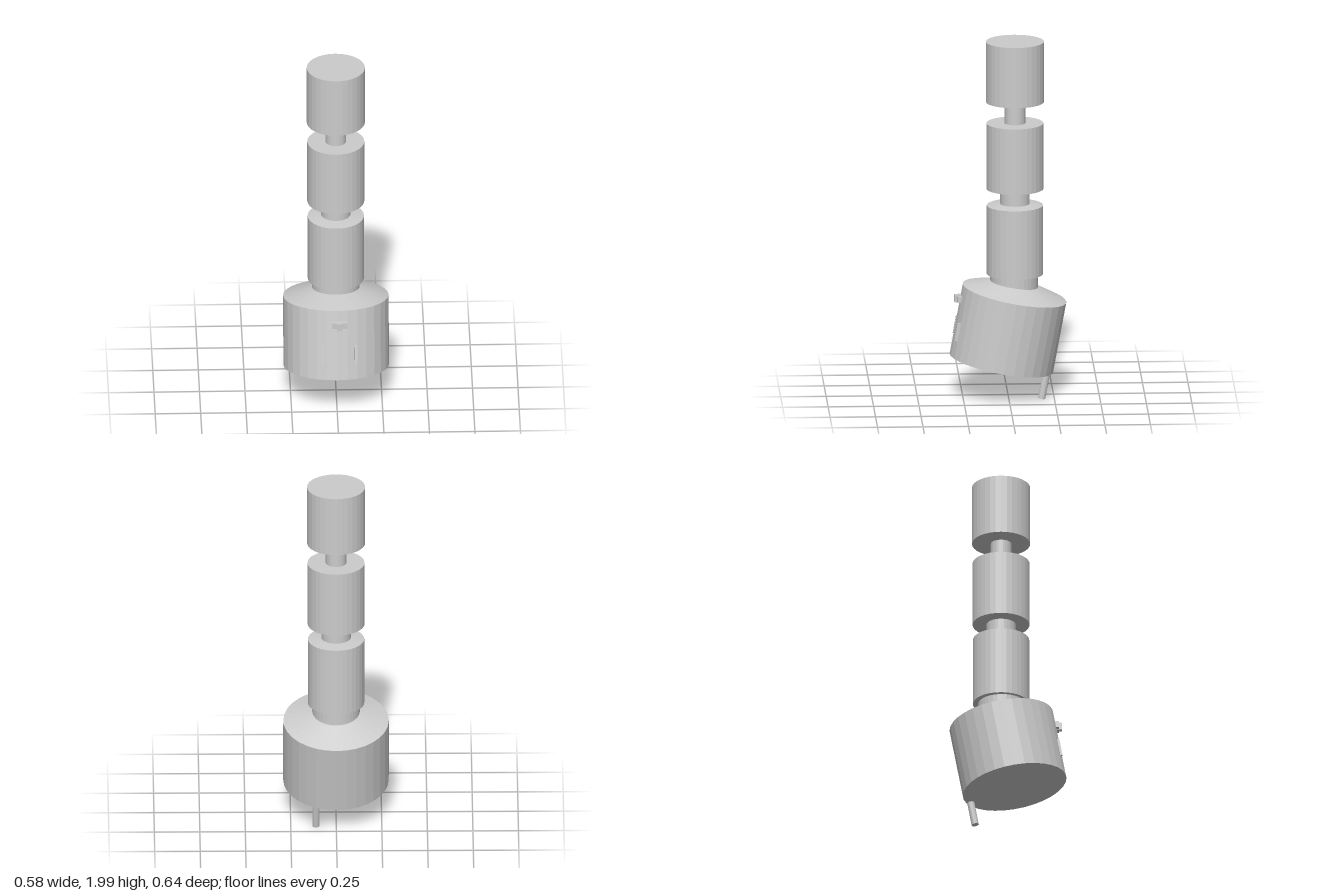
import * as THREE from 'three';

const material = new THREE.MeshStandardMaterial({ color: 0xcccccc, flatShading: true });

function add(parent, name, geometry, x, y, z) {
  const mesh = new THREE.Mesh(geometry, material);
  mesh.name = name;
  mesh.position.set(x, y, z);
  parent.add(mesh);
  return mesh;
}

// Upright cylinder or cone between two heights
function drum(parent, name, y0, y1, rTop, rBottom, x, z, sides = 32) {
  const geometry = new THREE.CylinderGeometry(rTop, rBottom, y1 - y0, sides);
  return add(parent, name, geometry, x, (y0 + y1) / 2, z);
}

export function createModel() {
  const model = new THREE.Group();
  model.name = 'model';

  // Vertical column: wide segments joined by thin necks
  const column = new THREE.Group();
  column.name = 'column';
  model.add(column);
  const stack = [
    ['baseNeck', 0.58, 0.69, 0.131, 0.131],
    ['lowerSegment', 0.69, 1.077, 0.155, 0.155],
    ['lowerShoulder', 1.077, 1.086, 0.085, 0.155],
    ['lowerNeck', 1.08, 1.17, 0.081, 0.081],
    ['middleSegment', 1.17, 1.54, 0.157, 0.157],
    ['upperNeck', 1.54, 1.66, 0.057, 0.057],
    ['topSegment', 1.66, 2, 0.16, 0.16],
  ];
  for (const [name, y0, y1, rTop, rBottom] of stack) {
    drum(column, name, y0, y1, rTop, rBottom, 0, name === 'baseNeck' ? -0.033 : -0.038);
  }

  // Tilted base drum with a shallow cone on top
  const base = new THREE.Group();
  base.name = 'tiltedBase';
  base.position.y = 0.385;
  base.rotation.x = -0.183;
  model.add(base);
  drum(base, 'baseDrum', -0.2, 0.2, 0.29, 0.29, 0, 0);
  drum(base, 'baseCone', 0.2, 0.253, 0.13, 0.29, 0, 0);

  // Pin under the base
  drum(base, 'pin', -0.335, -0.19, 0.02, 0.02, 0.112, -0.245, 16);

  // Two thin bars on the front of the drum
  for (const x of [-0.082, 0.103]) {
    add(base, 'frontBar', new THREE.BoxGeometry(0.015, 0.1, 0.022), x, -0.049, 0.276);
  }

  // Small latch on the front: a plate with a raised centre
  const latch = new THREE.Group();
  latch.name = 'latch';
  latch.position.set(0.013, 0.556, 0);
  model.add(latch);
  add(latch, 'latchPlate', new THREE.BoxGeometry(0.083, 0.034, 0.035), 0, 0, 0.263);
  add(latch, 'latchKnob', new THREE.BoxGeometry(0.028, 0.042, 0.045), 0, 0, 0.273);

  return model;
}
